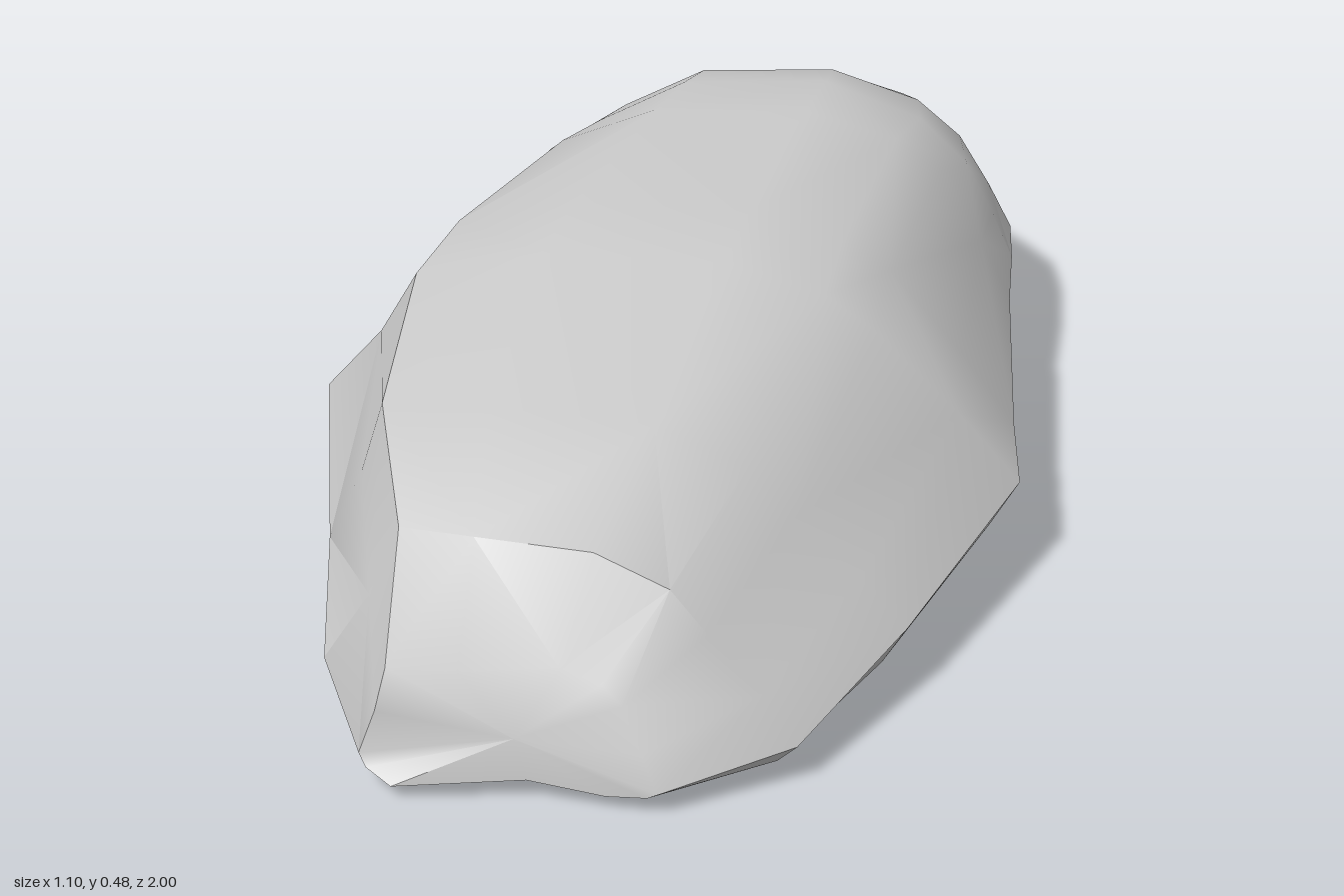
import * as THREE from 'three';
import { toCreasedNormals } from 'three/addons/utils/BufferGeometryUtils.js';

// Cross-sections from back to front:
// z, rim left x/y, shoulder left x/y, crown y, shoulder right x/y, rim right x/y, base y
const SECTIONS = [
  [-1.0, 0.02, 0.19, 0.015, 0.205, 0.215, -0.02, 0.205, -0.03, 0.18, 0.16],
  [-0.95, 0.11, 0.1, 0.08, 0.23, 0.26, -0.08, 0.23, -0.12, 0.11, 0.09],
  [-0.87, 0.1, 0.1, 0.09, 0.28, 0.325, -0.14, 0.27, -0.21, 0.11, 0.075],
  [-0.84, 0.22, 0.1, 0.11, 0.29, 0.34, -0.15, 0.28, -0.24, 0.115, 0.07],
  [-0.65, 0.36, 0.13, 0.25, 0.36, 0.43, -0.25, 0.34, -0.38, 0.15, 0.045],
  [-0.59, 0.39, 0.21, 0.3, 0.365, 0.46, -0.27, 0.355, -0.42, 0.16, 0.04],
  [-0.5, 0.41, 0.2, 0.33, 0.36, 0.48, -0.29, 0.365, -0.43, 0.165, 0.03],
  [-0.38, 0.43, 0.185, 0.31, 0.4, 0.48, -0.32, 0.38, -0.45, 0.17, 0.025],
  [0.0, 0.51, 0.17, 0.31, 0.41, 0.485, -0.38, 0.41, -0.51, 0.18, 0.02],
  [0.16, 0.55, 0.16, 0.32, 0.39, 0.475, -0.4, 0.395, -0.55, 0.18, 0.015],
  [0.55, 0.46, 0.12, 0.29, 0.28, 0.405, -0.33, 0.385, -0.42, 0.145, 0.005],
  [0.82, 0.36, 0.07, 0.23, 0.235, 0.345, -0.22, 0.345, -0.34, 0.11, 0.02],
  [0.94, 0.19, 0.045, 0.13, 0.16, 0.2, -0.2, 0.2, -0.24, 0.06, 0.03],
];

const mix = THREE.MathUtils.lerp;

// Outline of one section, counter-clockwise seen from the front
function ring([z, lx, ly, sx, sy, top, tx, ty, rx, ry, base]) {
  // A low upright wall stands on the right rim towards the back
  const wall = 1 - THREE.MathUtils.smoothstep(z, -0.6, -0.2);
  const outline = [
    [lx, ly],
    [mix(lx, sx, 0.42), mix(ly, sy, 0.46)],
    [sx, sy],
    [sx * 0.76, mix(sy, top, 0.6)],
    [sx * 0.28, top],
    [tx * 0.5, mix(ty, top, 0.75)],
    [tx, ty],
    [mix(tx, rx, mix(0.4, 0.88, wall)), mix(ty, ry, 0.5)],
    [rx, ry],
    [rx * mix(0.95, 0.9, wall), mix(ry, base, 0.6)],
    [rx * 0.77, base],
    [0, base + 0.01],
    [lx * 0.6, base],
    [lx * 0.92, mix(ly, base, 0.55)],
  ];
  // The front end leans back, except for a narrow nose right of centre
  return outline.map(([x, y]) => {
    const nose = Math.exp(-(((x + 0.16) / 0.09) ** 2));
    const lean = z > 0.9 ? mix(0.01 - 0.35 * Math.max(0, y - 0.06), 0.07 - 0.18 * y, nose) : 0;
    return new THREE.Vector3(x, y, z + lean);
  });
}

function rockGeometry() {
  const rings = SECTIONS.map(ring);
  const n = rings[0].length;
  const points = rings.flat();
  const index = [];

  // Skin between neighbouring sections
  for (let i = 0; i < rings.length - 1; i++) {
    for (let j = 0; j < n; j++) {
      const a = i * n + j;
      const b = i * n + ((j + 1) % n);
      if ((i + j) % 2) index.push(a, b, a + n, b, b + n, a + n);
      else index.push(a, b, b + n, a, b + n, a + n);
    }
  }

  // Closed ends
  const cap = (start, front) => {
    const centre = new THREE.Vector3();
    for (let j = 0; j < n; j++) centre.addScaledVector(points[start + j], 1 / n);
    const c = points.push(centre) - 1;
    for (let j = 0; j < n; j++) {
      const a = start + j;
      const b = start + ((j + 1) % n);
      index.push(c, ...(front ? [a, b] : [b, a]));
    }
  };
  cap(0, false);
  cap((rings.length - 1) * n, true);

  const geometry = new THREE.BufferGeometry().setFromPoints(points);
  geometry.setIndex(index);
  return toCreasedNormals(geometry, 0.75);
}

export function createModel() {
  const group = new THREE.Group();
  group.name = 'rock';
  const boulder = new THREE.Mesh(
    rockGeometry(),
    new THREE.MeshStandardMaterial({ color: 0xcccccc })
  );
  boulder.name = 'boulder';
  group.add(boulder);
  return group;
}
